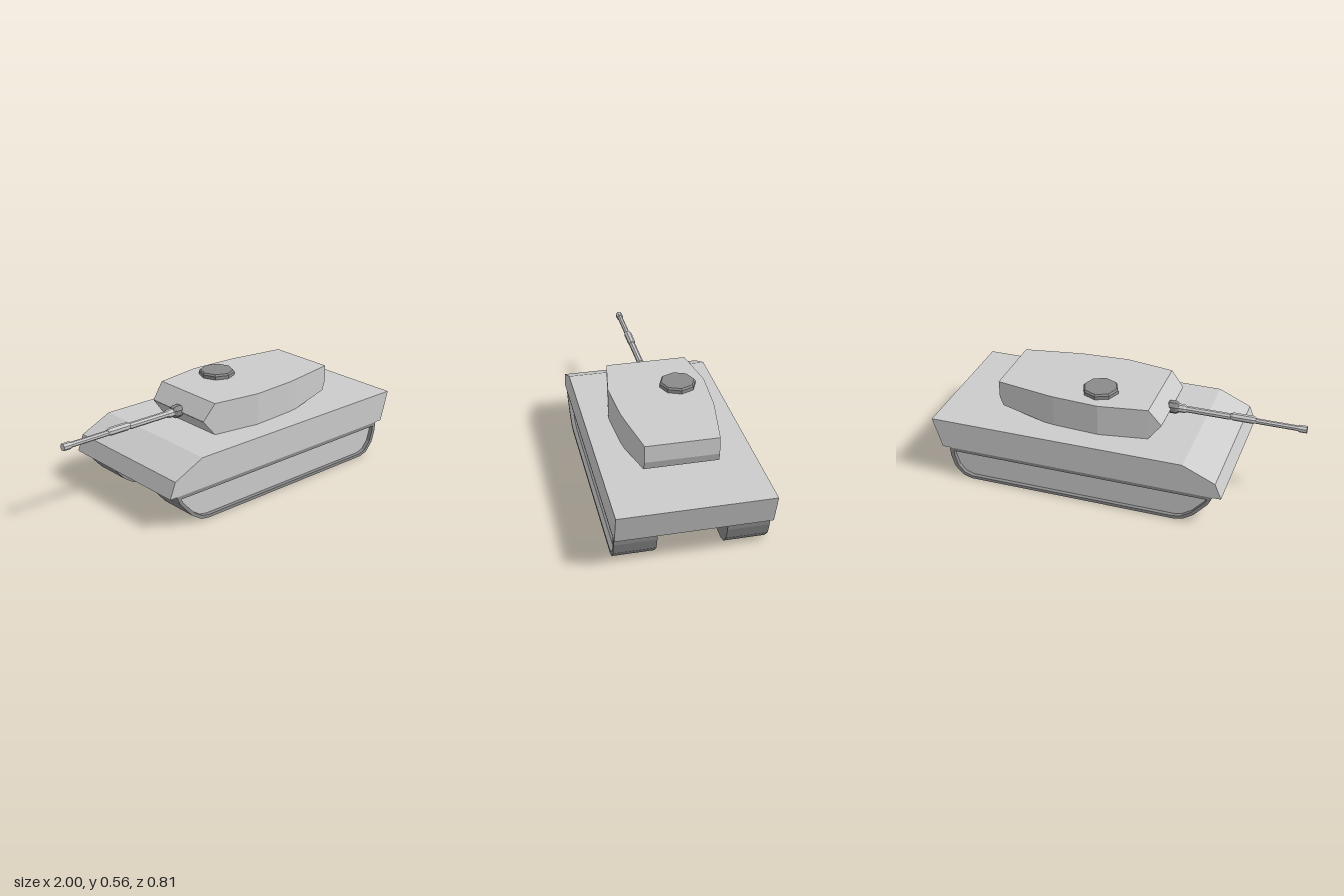
import * as THREE from 'three';

const mat = (color) => new THREE.MeshStandardMaterial({ color, flatShading: true });
const grey = mat(0xcccccc);
const dark = mat(0x8a8a8a);

const shapeOf = (pts) => new THREE.Shape(pts.map(([x, y]) => new THREE.Vector2(x, y)));

// Side profile (x, y) extruded from z0 to z1
function slab(shape, z0, z1) {
  const g = new THREE.ExtrudeGeometry(shape, { depth: z1 - z0, bevelEnabled: false });
  return g.translate(0, 0, z0);
}

// Rectangular cross-sections [x, bottom, top, half width] joined along x
function loft(sections) {
  const pos = [], index = [];
  for (const [x, b, t, w] of sections) pos.push(x, b, w, x, t, w, x, t, -w, x, b, -w);
  for (let s = 0; s < sections.length - 1; s++) {
    for (let k = 0; k < 4; k++) {
      const a = s * 4 + k, b = s * 4 + (k + 1) % 4;
      index.push(a, a + 4, b, b, a + 4, b + 4);
    }
  }
  const e = (sections.length - 1) * 4;
  index.push(0, 1, 2, 0, 2, 3, e, e + 2, e + 1, e, e + 3, e + 2);
  const g = new THREE.BufferGeometry();
  g.setAttribute('position', new THREE.Float32BufferAttribute(pos, 3));
  g.setIndex(index);
  const flat = g.toNonIndexed();
  flat.computeVertexNormals();
  return flat;
}

export function createModel() {
  const model = new THREE.Group();
  const add = (name, geometry, material, parent = model) => {
    const m = new THREE.Mesh(geometry, material);
    m.name = name;
    parent.add(m);
    return m;
  };

  // Hull: wide upper body and narrow belly between the tracks
  add('upperHull', slab(shapeOf([
    [-0.645, 0.187], [0.95, 0.187], [1, 0.357], [-0.43, 0.357], [-0.61, 0.275],
  ]), -0.404, 0.404), grey);
  add('lowerHull', slab(shapeOf([
    [-0.63, 0.188], [-0.52, 0.087], [0.76, 0.087], [0.93, 0.188],
  ]), -0.17, 0.17), grey);

  // Tracks: solid core, raised outer rim and recessed side panel
  const outer = [
    [-0.6, 0.187], [-0.575, 0.135], [-0.5, 0.05], [-0.44, 0.01], [-0.39, 0],
    [0.79, 0], [0.84, 0.015], [0.885, 0.065], [0.905, 0.13], [0.91, 0.187],
  ];
  const inner = [
    [-0.57, 0.165], [-0.553, 0.137], [-0.485, 0.062], [-0.43, 0.026], [-0.385, 0.017],
    [0.785, 0.017], [0.826, 0.03], [0.864, 0.073], [0.882, 0.132], [0.886, 0.165],
  ];
  const ring = shapeOf(outer);
  ring.holes.push(shapeOf(inner));
  for (const side of [1, -1]) {
    const track = new THREE.Group();
    track.name = side > 0 ? 'leftTrack' : 'rightTrack';
    const span = (a, b) => (side > 0 ? [a, b] : [-b, -a]);
    add('trackCore', slab(shapeOf(outer), ...span(0.18, 0.375)), dark, track);
    add('trackRim', slab(ring, ...span(0.375, 0.4)), dark, track);
    add('sidePanel', slab(shapeOf(inner), ...span(0.37, 0.378)), grey, track);
    model.add(track);
  }

  // Turret: wedge nose, vertical sides, undercut rear
  add('turret', loft([
    [-0.26, 0.444, 0.446, 0.212],
    [-0.19, 0.357, 0.535, 0.224],
    [0.08, 0.357, 0.535, 0.267],
    [0.34, 0.357, 0.535, 0.251],
    [0.4, 0.357, 0.535, 0.242],
    [0.66, 0.39, 0.535, 0.197],
    [0.68, 0.44, 0.535, 0.194],
  ]), grey);

  // Eight-sided hatch with a chamfered top
  const hatchProfile = [[0, 0], [0.1, 0], [0.1, 0.02], [0.092, 0.03], [0, 0.03]]
    .map(([r, y]) => new THREE.Vector2(r, y));
  add('hatch', new THREE.LatheGeometry(hatchProfile, 8), dark).position.set(0.115, 0.534, -0.11);

  // Gun: each profile is [radius, x], turned about the barrel axis
  const gun = new THREE.Group();
  gun.name = 'gun';
  gun.position.set(0, 0.444, -0.003);
  const turned = (pts) => new THREE.LatheGeometry(
    pts.map(([r, x]) => new THREE.Vector2(r, x)), 8, Math.PI / 8).rotateZ(-Math.PI / 2);
  add('barrel', turned([
    [0, -1], [0.02, -1], [0.02, -0.955], [0.015, -0.955], [0.015, -0.59],
    [0.018, -0.58], [0.018, -0.34], [0.024, -0.33], [0.024, -0.22], [0, -0.22],
  ]), grey, gun);
  add('boreEvacuator', turned([
    [0, -0.725], [0.015, -0.725], [0.022, -0.71], [0.022, -0.6], [0.015, -0.585], [0, -0.585],
  ]), grey, gun).position.y = 0.004;
  add('mantlet', turned([
    [0, -0.3], [0.026, -0.3], [0.036, -0.285], [0.036, -0.25], [0.026, -0.235], [0, -0.235],
  ]), dark, gun);
  model.add(gun);

  return model;
}
